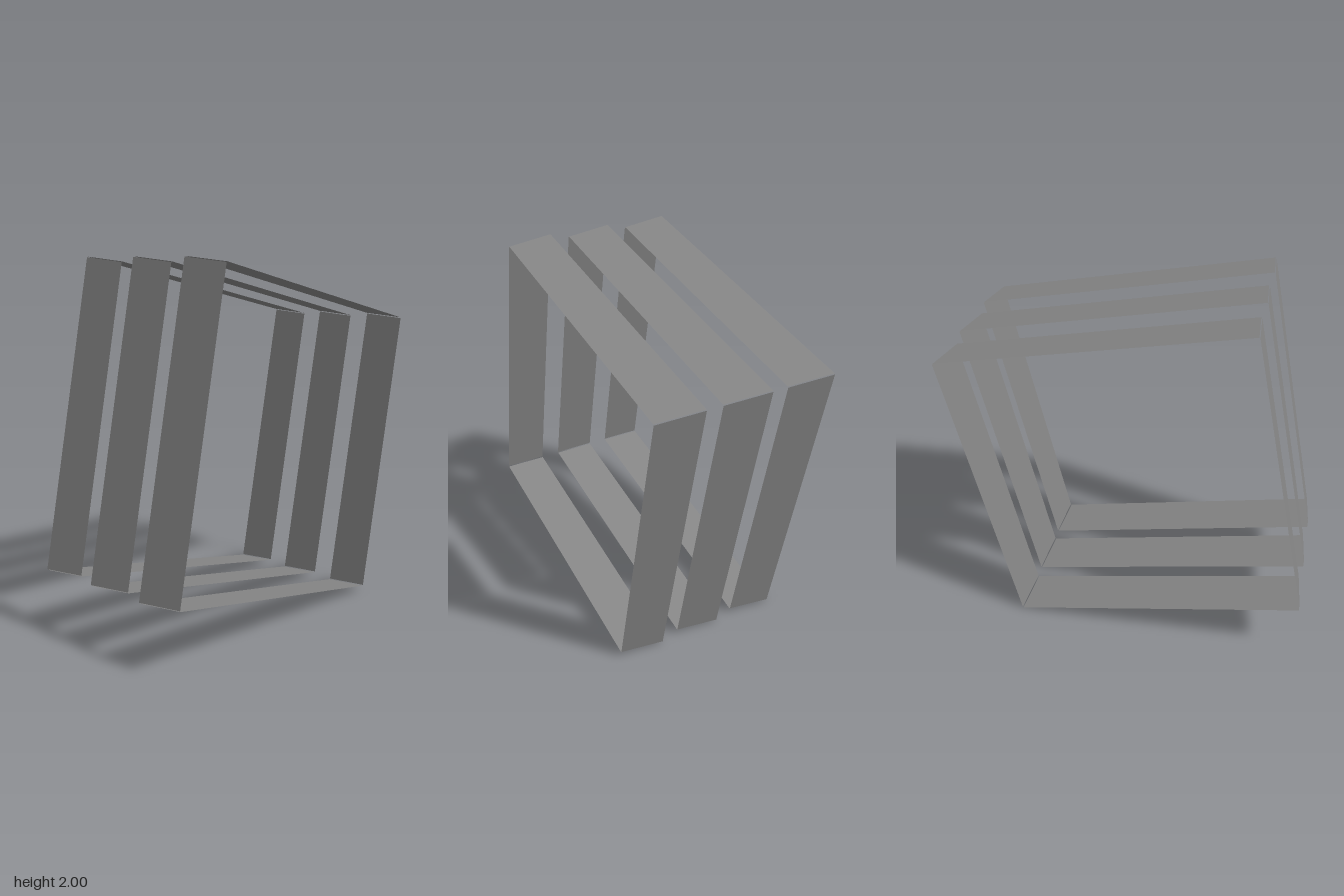
import * as THREE from 'three';

const HALF_W = 0.835, HALF_H = 0.848; // frame half sizes at the wide (rear) rim
const INSET = 0.022;                  // how far the front rim tapers inward
const GAP = 0.004;                    // panels stop just short of each corner
const DEPTH = 0.255, PITCH = 0.361, TILT = -0.2055;

const material = new THREE.MeshStandardMaterial({
  color: 0x858585, side: THREE.DoubleSide, flatShading: true,
});

// Thin tapered panel facing +y: 'dist' from the axis, 'half' its half length
function makePanel(name, half, dist) {
  const r = half - GAP, f = half - INSET - GAP, z = DEPTH / 2;
  const geometry = new THREE.BufferGeometry();
  geometry.setAttribute('position', new THREE.Float32BufferAttribute([
    -r, dist, -z, r, dist, -z, f, dist - INSET, z, -f, dist - INSET, z,
  ], 3));
  geometry.setIndex([0, 2, 1, 0, 3, 2]);
  geometry.computeVertexNormals();
  const mesh = new THREE.Mesh(geometry, material);
  mesh.name = name;
  return mesh;
}

// One open four-sided band, tilted about the z axis
function makeFrame(name) {
  const frame = new THREE.Group();
  frame.name = name;
  ['topPanel', 'leftPanel', 'bottomPanel', 'rightPanel'].forEach((label, i) => {
    const panel = i % 2 ? makePanel(label, HALF_H, HALF_W) : makePanel(label, HALF_W, HALF_H);
    panel.rotation.z = -i * Math.PI / 2;
    frame.add(panel);
  });
  frame.rotation.z = TILT;
  return frame;
}

export function createModel() {
  const model = new THREE.Group();
  model.name = 'tiltedFrames';
  // Three equal frames in a row from back to front
  ['backFrame', 'middleFrame', 'frontFrame'].forEach((name, i) => {
    const frame = makeFrame(name);
    frame.position.set(0, 1, (i - 1) * PITCH);
    model.add(frame);
  });
  return model;
}
